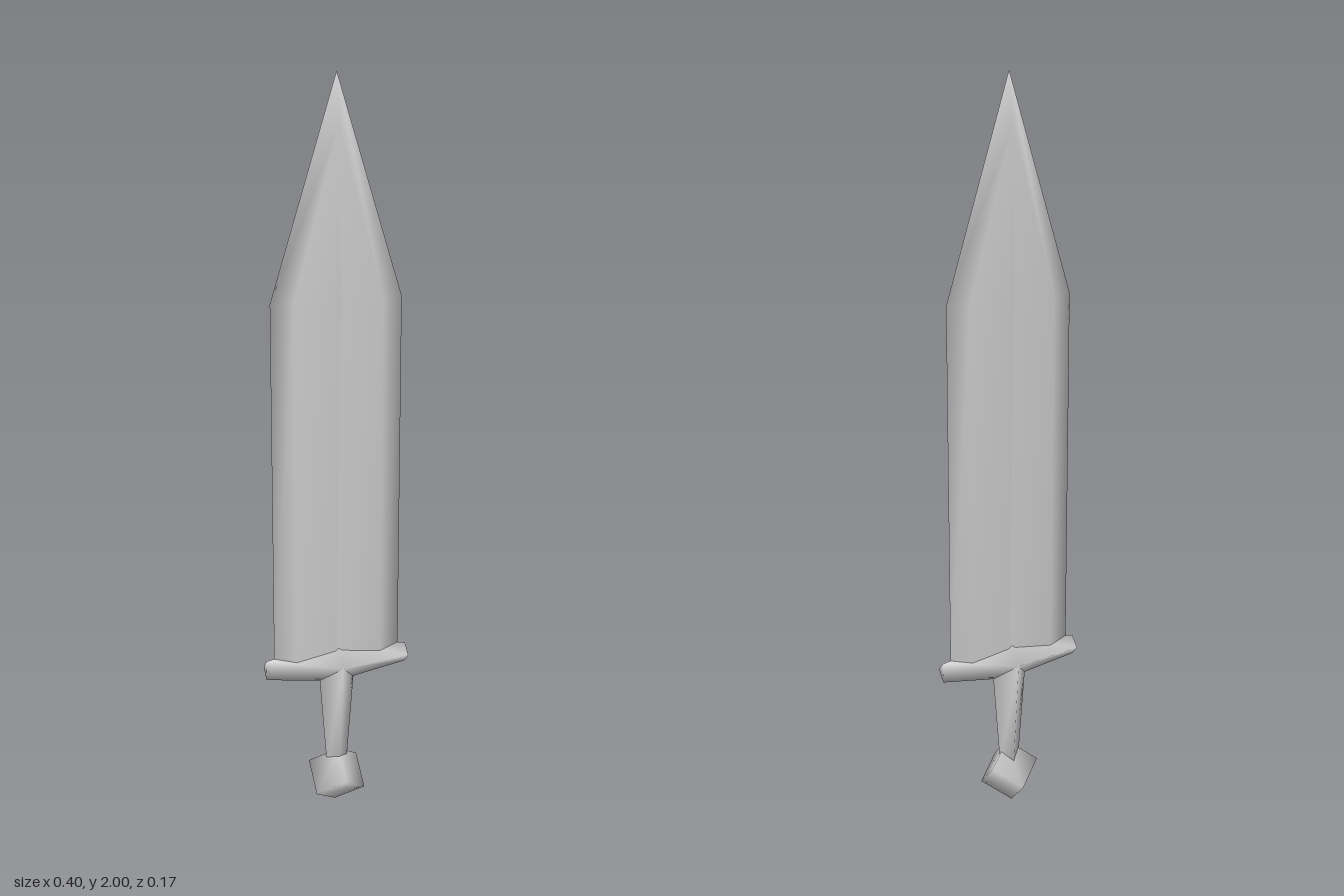
import * as THREE from 'three';
import { mergeVertices } from 'three/addons/utils/BufferGeometryUtils.js';

const material = new THREE.MeshStandardMaterial({ color: 0xcccccc });

// Skin a surface over rings of [x, y, z] points that turn counter-clockwise about the path
function loft(rings, capEnd = true) {
  const n = rings[0].length;
  const index = [];
  for (let i = 0; i < rings.length - 1; i++) {
    for (let j = 0; j < n; j++) {
      const k = (j + 1) % n;
      const a = i * n + j, b = i * n + k, c = b + n, d = a + n;
      index.push(a, b, c, a, c, d);
    }
  }
  const last = (rings.length - 1) * n;
  for (let j = 1; j < n - 1; j++) {
    index.push(0, j + 1, j);
    if (capEnd) index.push(last, last + j, last + j + 1);
  }
  const geometry = new THREE.BufferGeometry();
  geometry.setAttribute('position', new THREE.Float32BufferAttribute(rings.flat(2), 3));
  geometry.setIndex(index);
  return smooth(geometry);
}

// Weld the corners so the shading runs smoothly across the edges
function smooth(geometry) {
  geometry.deleteAttribute('normal');
  geometry.deleteAttribute('uv');
  const welded = mergeVertices(geometry, 1e-5);
  welded.computeVertexNormals();
  return welded;
}

function bladeGeometry() {
  const edge = 0.178, bevel = 0.12, groove = 0.01, thick = 0.019, deep = 0.015;
  const half = [[-edge, 0], [-bevel, thick], [-groove, thick], [0, deep], [groove, thick], [bevel, thick]];
  const section = [...half, ...half.map(([x, z]) => [-x, -z])];
  const ring = (y) => section.map(([x, z]) => [x, y, z]);
  // Edges meet at the point, the flats and the groove end a little lower
  const tip = section.map(([, z]) => [0, z === 0 ? 2 : 1.87, Math.sign(z) * thick]);
  return loft([ring(0.42), ring(1.43), tip], false);
}

function guardGeometry() {
  const ring = (x, top, mid, bottom, z) => [[x, top, 0], [x, mid, z], [x, bottom, 0], [x, mid, -z]];
  return loft([
    ring(-0.2, 0.455, 0.428, 0.4, 0.027),
    ring(0, 0.488, 0.427, 0.368, 0.056),
    ring(0.2, 0.455, 0.428, 0.4, 0.027),
  ]);
}

function gripGeometry() {
  const ring = (y, x, z) => [[0, y, z], [x, y, 0], [0, y, -z], [-x, y, 0]];
  return loft([ring(0.11, 0.028, 0.027), ring(0.43, 0.053, 0.056)]);
}

export function createModel() {
  const sword = new THREE.Group();
  sword.name = 'sword';
  const add = (name, geometry) => {
    const mesh = new THREE.Mesh(geometry, material);
    mesh.name = name;
    sword.add(mesh);
    return mesh;
  };

  add('blade', bladeGeometry());
  add('crossguard', guardGeometry());
  add('grip', gripGeometry());

  // Cube turned on its corner
  const pommel = smooth(new THREE.BoxGeometry(0.099, 0.099, 0.099));
  pommel.rotateY(Math.PI / 4).rotateX(-Math.PI / 4);
  add('pommel', pommel).position.y = 0.0845;

  return sword;
}
